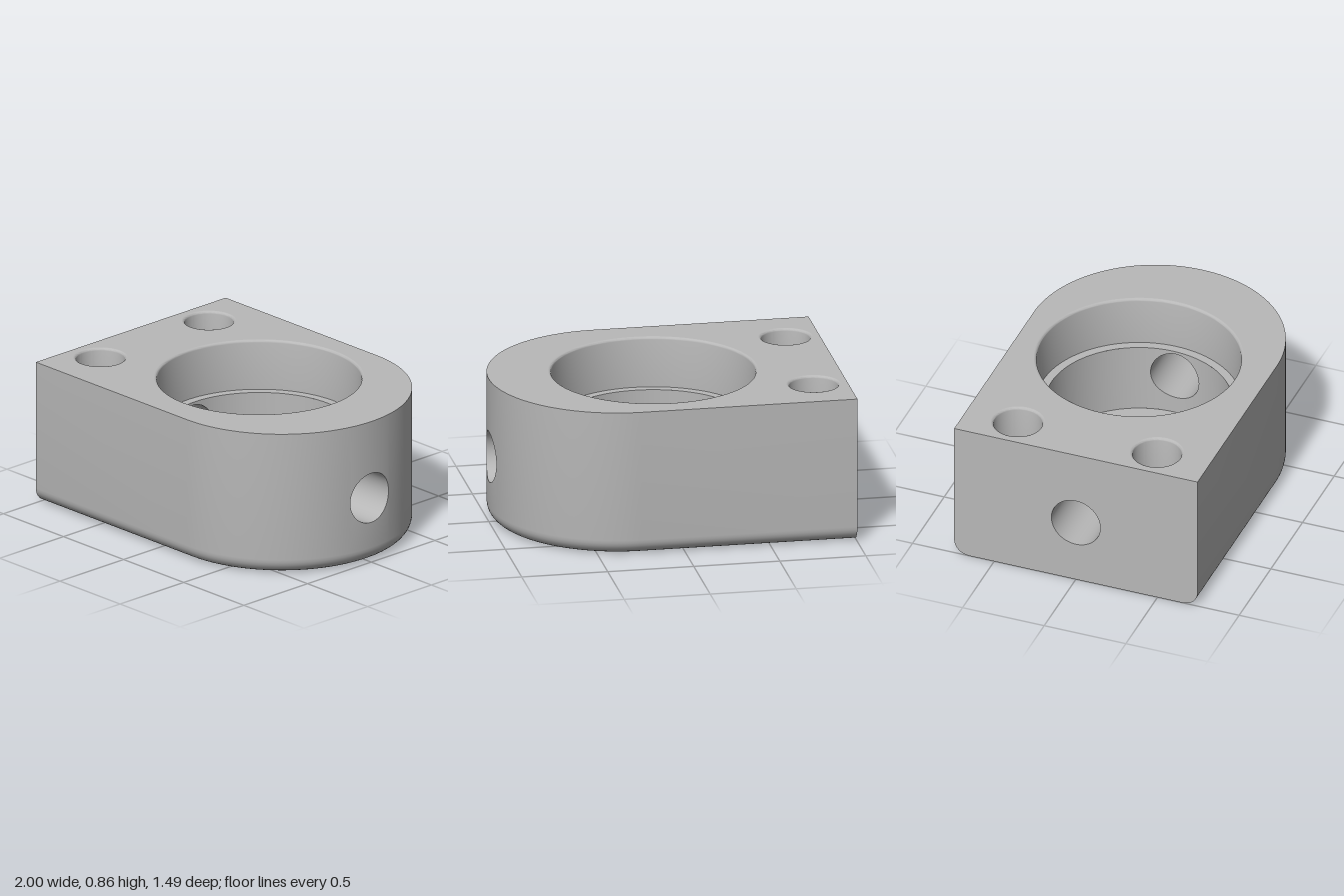
import * as THREE from 'three';
import { mergeGeometries, toCreasedNormals } from 'three/addons/utils/BufferGeometryUtils.js';

// Overall block
const H = 0.86, W = 0.745, ARC_X = 0.255, FILLET = 0.09;
// Stepped bore
const BX = 0.048, BZ = -0.02, BORE_R = 0.585, POCKET_R = 0.534, LEDGE_Y = 0.56, FLOOR_Y = 0.14;
// Cross hole along x
const CROSS_Y = 0.393, CROSS_R = 0.15, CROSS_N = 24;
const RIM = 0.015;
const mountHoles = [[-0.805, -0.43], [-0.805, 0.422]];
const floorHoles = [[BX, BZ, 0.256], [BX - 0.361, BZ, 0.066], [BX + 0.361, BZ, 0.066]];

const range = (n, f) => Array.from({ length: n + 1 }, (_, i) => f(i / n));
const lerp = THREE.MathUtils.lerp;
const circle = (cx, cy, r, n = 96) =>
  range(n - 1, () => 0).map((_, i) => new THREE.Vector2(
    cx + r * Math.sin(i / n * 2 * Math.PI), cy + r * Math.cos(i / n * 2 * Math.PI)));

// Surface through rows of [x, y, z] points, facing (along row) x (next row)
function loft(rows) {
  const n = rows[0].length, index = [];
  for (let i = 0; i < rows.length - 1; i++)
    for (let j = 0; j < n - 1; j++) {
      const a = i * n + j, d = a + n;
      index.push(a, a + 1, d, a + 1, d + 1, d);
    }
  const g = new THREE.BufferGeometry();
  g.setAttribute('position', new THREE.Float32BufferAttribute(rows.flat(2), 3));
  g.setIndex(index);
  return g;
}

// Upright wall over a path of [x, z] points between two heights (numbers or functions of z)
function wall(path, lo, hi) {
  const row = (y) => path.map(([x, z]) => [x, typeof y === 'function' ? y(z) : y, z]);
  return loft([row(lo), row(hi)]);
}
const chord = (z) => Math.sqrt(Math.max(0, CROSS_R ** 2 - z * z));
const openWall = (path, lo, hi) => [
  wall(path, lo, (z) => CROSS_Y - chord(z)),
  wall(path, (z) => CROSS_Y + chord(z), hi),
];

// Flat shape with holes
function face(outline, holes) {
  const s = new THREE.Shape(outline);
  s.holes = holes.map((h) => new THREE.Path(h));
  return new THREE.ShapeGeometry(s);
}
// Horizontal face looking up or down; outline in (x, z)
function plate(outline, holes, y, up) {
  const k = up ? -1 : 1;
  const flip = (pts) => pts.map((p) => new THREE.Vector2(p.x, k * p.y));
  return face(flip(outline), holes.map(flip)).rotateX(k * Math.PI / 2).translate(0, y, 0);
}

// Turned hole: profile runs from top to bottom
const turned = (profile, x, z) =>
  new THREE.LatheGeometry(profile.map(([r, y]) => new THREE.Vector2(r, y)), 96).translate(x, 0, z);
// Softly rounded upper rim of a hole with radius r
const rim = (r) => range(4, (t) => [
  r + RIM * (1 - Math.sin(t * Math.PI / 2)), H - RIM * (1 - Math.cos(t * Math.PI / 2))]);

// Angles around the rounded end, split where the cross hole passes
const edge = Math.asin(CROSS_R / W);
const openAngles = range(CROSS_N, (t) => Math.asin(CROSS_R * Math.cos(t * Math.PI) / W));
const frontAngles = range(32, (t) => lerp(Math.PI / 2, edge, t));
const backAngles = range(32, (t) => lerp(-edge, -Math.PI / 2, t));
const endPath = (angles, inset = 0) => angles.map((a) =>
  [ARC_X + (W - inset) * Math.cos(a), (W - inset) * Math.sin(a)]);
const outlinePath = (inset) => [
  [-1, W - inset],
  ...endPath([...frontAngles, ...openAngles.slice(1, -1), ...backAngles], inset),
  [-1, inset - W],
];
const outline = (inset) => outlinePath(inset).map(([x, z]) => new THREE.Vector2(x, z));

// Bore-side path over the cross hole: side = 1 (left) or -1 (right)
const boreX = (z, side) => BX + side * Math.sqrt(POCKET_R ** 2 - (z - BZ) ** 2);
const borePath = (side) => range(CROSS_N, (t) => {
  const z = -side * CROSS_R * Math.cos(t * Math.PI);
  return [boreX(z, side), z];
});
const boreArc = (a, b) => range(48, (t) => {
  const q = lerp(a, b, t);
  return [BX + POCKET_R * Math.cos(q), BZ + POCKET_R * Math.sin(q)];
});
// Cross hole lining between two end surfaces
const tunnel = (xLow, xHigh) => loft([xLow, xHigh].map((fx) => range(CROSS_N * 2, (t) => {
  const z = CROSS_R * Math.cos(t * 2 * Math.PI);
  return [fx(z), CROSS_Y + CROSS_R * Math.sin(t * 2 * Math.PI), z];
})));

export function createModel() {
  const model = new THREE.Group();
  const grey = new THREE.MeshStandardMaterial({ color: 0xb8b8b8, side: THREE.DoubleSide });
  grey.name = 'machined grey';

  function add(name, ...parts) {
    const clean = parts.map((g) => {
      const p = g.index ? g.toNonIndexed() : g;
      p.deleteAttribute('uv');
      p.deleteAttribute('normal');
      return p;
    });
    const mesh = new THREE.Mesh(toCreasedNormals(mergeGeometries(clean), 0.6), grey);
    mesh.name = name;
    model.add(mesh);
  }

  // Outer wall with rounded lower edge
  const front = [[-1, W], ...endPath(frontAngles)];
  const back = [...endPath(backAngles), [-1, -W]];
  const filletRows = range(8, (t) => {
    const a = t * Math.PI / 2;
    return outlinePath(FILLET * (1 - Math.sin(a))).map(([x, z]) => [x, FILLET * (1 - Math.cos(a)), z]);
  });
  add('outerWall', wall(front, FILLET, H), wall(back, FILLET, H),
    ...openWall(endPath(openAngles), FILLET, H), loft(filletRows));

  // Flat end with cross hole and rounded lower corners
  const corner = (side) => range(8, (t) => new THREE.Vector2(
    side * (W - FILLET * (1 - Math.sin(t * Math.PI / 2))), FILLET * (1 - Math.cos(t * Math.PI / 2))));
  add('flatEnd', face(
    [...corner(1), new THREE.Vector2(W, H), new THREE.Vector2(-W, H), ...corner(-1).reverse()],
    [circle(0, CROSS_Y, CROSS_R, CROSS_N * 2)]).rotateY(-Math.PI / 2).translate(-1, 0, 0));

  // Top and bottom faces
  add('topFace', plate(outline(0), [circle(BX, BZ, BORE_R + RIM),
    ...mountHoles.map(([x, z]) => circle(x, z, 0.14 + RIM))], H, true));
  const floorCircles = floorHoles.map((h) => circle(...h));
  add('bottomFace', plate(outline(FILLET), [...floorCircles,
    ...mountHoles.map(([x, z]) => circle(x, z, 0.087))], 0, false));

  // Stepped bore: upper wall, ledge, pocket wall and floor
  add('boreAndLedge', turned([...rim(BORE_R), [BORE_R, LEDGE_Y], [POCKET_R, LEDGE_Y]], BX, BZ));
  const hi = Math.asin((CROSS_R - BZ) / POCKET_R), lo = Math.asin((-CROSS_R - BZ) / POCKET_R);
  add('pocketWall',
    wall(boreArc(hi, Math.PI - hi), FLOOR_Y, LEDGE_Y),
    wall(boreArc(Math.PI - lo, 2 * Math.PI + lo), FLOOR_Y, LEDGE_Y),
    ...openWall(borePath(1), FLOOR_Y, LEDGE_Y),
    ...openWall(borePath(-1), FLOOR_Y, LEDGE_Y));
  add('pocketFloor', plate(circle(BX, BZ, POCKET_R), floorCircles, FLOOR_Y, true));
  floorHoles.forEach(([x, z, r], i) =>
    add(i ? 'smallFloorHole' : 'centreHole', turned([[r, FLOOR_Y], [r, 0]], x, z)));

  // Cross hole linings
  add('leftCrossHole', tunnel((z) => boreX(z, 1), (z) => ARC_X + Math.sqrt(W * W - z * z)));
  add('rightCrossHole', tunnel(() => -1, (z) => boreX(z, -1)));

  // Counterbored mounting holes
  for (const [x, z] of mountHoles)
    add('mountingHole', turned([...rim(0.14), [0.14, 0.56], [0.087, 0.56], [0.087, 0]], x, z));

  return model;
}
